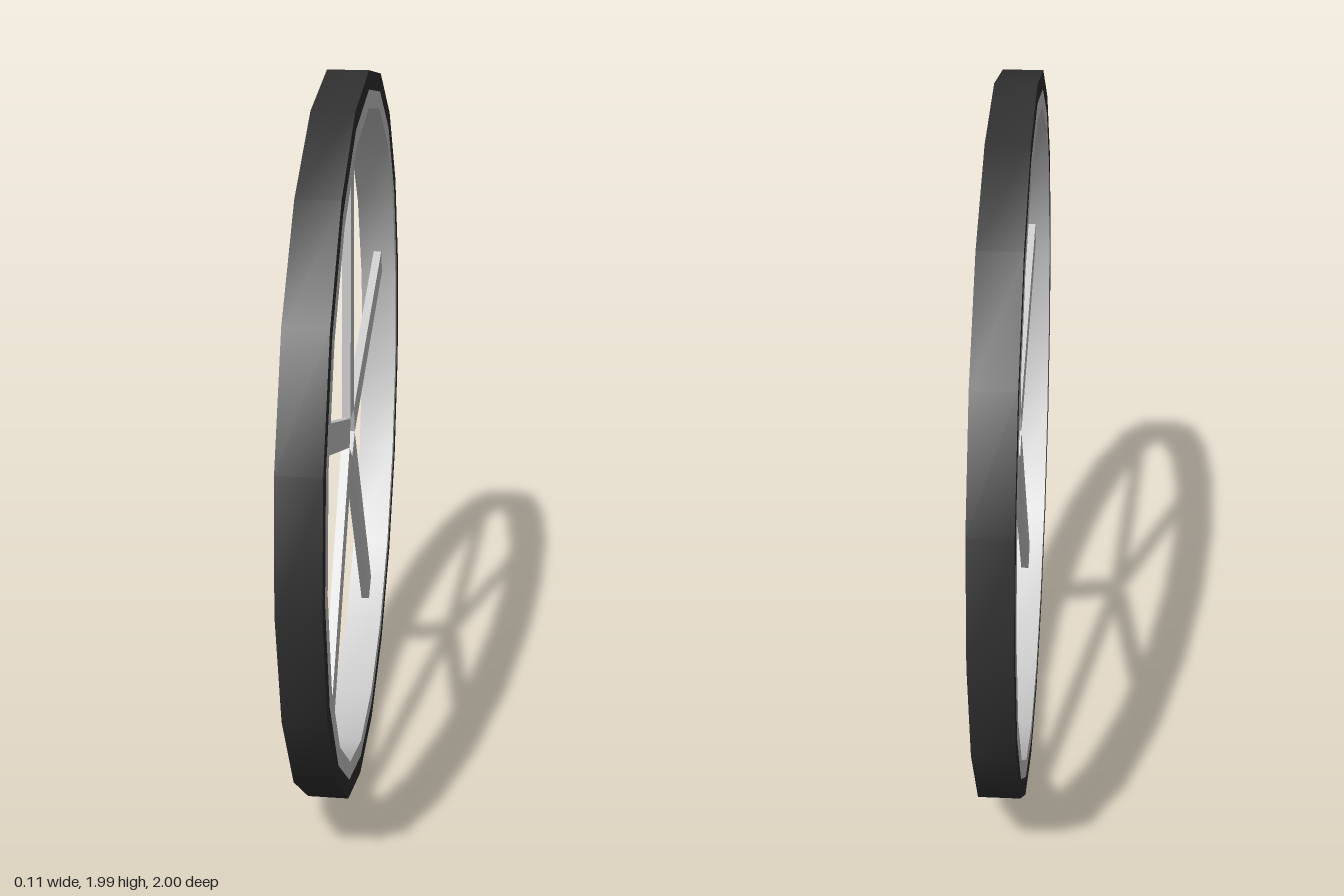
import * as THREE from 'three';
import { toCreasedNormals } from 'three/addons/utils/BufferGeometryUtils.js';

const SIDES = 19;
const AXLE_Y = 0.99;
const HALF_WIDTH = 0.055;

// Square-edged ring around the x axis, with one corner pointing up
function ring(name, inner, outer, material) {
  const profile = [
    [outer, -HALF_WIDTH], [outer, HALF_WIDTH],
    [inner, HALF_WIDTH], [inner, -HALF_WIDTH], [outer, -HALF_WIDTH],
  ].map(([r, y]) => new THREE.Vector2(r, y));
  const lathe = new THREE.LatheGeometry(profile, SIDES, Math.PI / 2);
  lathe.rotateZ(Math.PI / 2);
  const mesh = new THREE.Mesh(toCreasedNormals(lathe, 0.7), material);
  mesh.name = name;
  return mesh;
}

export function createModel() {
  const grey = new THREE.MeshStandardMaterial({ color: 0xcccccc });
  const rubber = new THREE.MeshStandardMaterial({ color: 0x303030 });

  const wheel = new THREE.Group();
  wheel.name = 'wheel';
  wheel.position.y = AXLE_Y;

  wheel.add(ring('tyre', 0.953, 1.003, rubber));
  wheel.add(ring('rim', 0.905, 0.953, grey));

  // Five flat spokes around an open centre, their ends sunk into the rim
  const start = 0.057, end = 0.92;
  const spokeGeometry = new THREE.BoxGeometry(0.024, end - start, 0.08);
  spokeGeometry.translate(0, (start + end) / 2, 0);
  for (let i = 0; i < 5; i++) {
    const spoke = new THREE.Mesh(spokeGeometry, grey);
    spoke.name = `spoke${i + 1}`;
    spoke.rotation.x = (i * Math.PI * 2) / 5;
    wheel.add(spoke);
  }

  const model = new THREE.Group();
  model.name = 'spokedWheel';
  model.add(wheel);
  return model;
}
